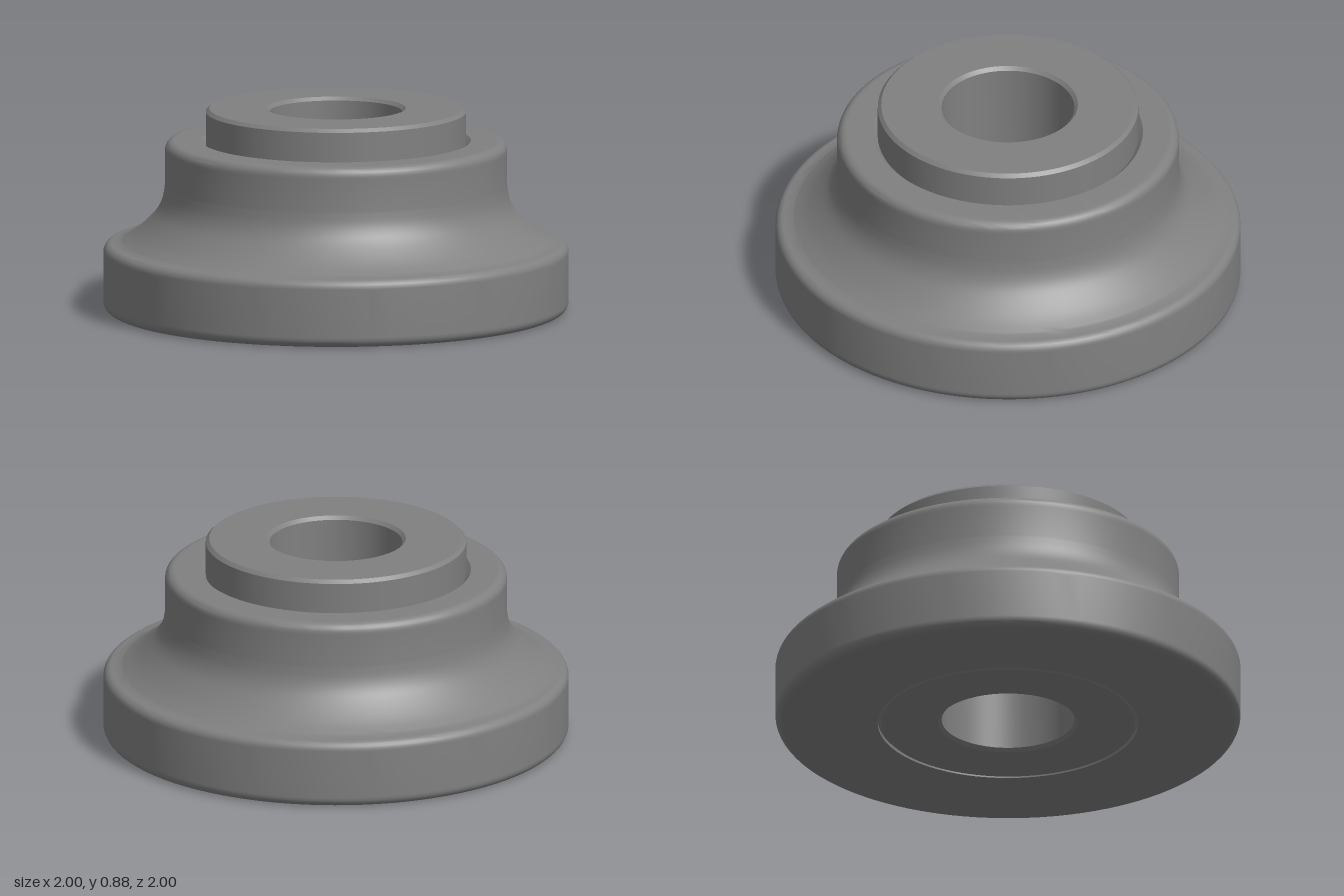
import * as THREE from 'three';
import { toCreasedNormals } from 'three/addons/utils/BufferGeometryUtils.js';

const SEGMENTS = 96;
const v = (r, y) => new THREE.Vector2(r, y);

// Quarter-round corner around (cx, cy), from angle a to angle b in degrees
function fillet(cx, cy, radius, a, b, steps = 6) {
  return Array.from({ length: steps + 1 }, (_, i) => {
    const t = THREE.MathUtils.degToRad(a + ((b - a) * i) / steps);
    return v(cx + radius * Math.cos(t), cy + radius * Math.sin(t));
  });
}

// Revolve a closed, counter-clockwise (radius, height) profile
function ring(name, profile, material) {
  const lathe = new THREE.LatheGeometry([...profile, profile[0].clone()], SEGMENTS);
  const mesh = new THREE.Mesh(toCreasedNormals(lathe, Math.PI / 6), material);
  mesh.name = name;
  return mesh;
}

export function createModel() {
  const steel = new THREE.MeshStandardMaterial({ color: 0x808080 });
  steel.name = 'grey steel';
  const group = new THREE.Group();
  group.name = 'flangedRoller';

  // Flared neck sweeping from the flange up to the hub
  const flare = new THREE.SplineCurve([
    v(0.925, 0.3), v(0.87, 0.335), v(0.815, 0.383), v(0.77, 0.435),
    v(0.745, 0.49), v(0.735, 0.55),
  ]).getPoints(20);

  // Roller body: rounded flange, flare, hub and chamfered bore mouth
  group.add(ring('rollerBody', [
    v(0.56, 0), v(0.955, 0),
    ...fillet(0.96, 0.04, 0.04, -90, 0),
    v(0.999999, 0.045), v(0.999999, 0.25),
    ...fillet(0.96, 0.255, 0.04, 0, 90),
    ...flare,
    v(0.735, 0.69),
    ...fillet(0.695, 0.7, 0.04, 0, 90),
    v(0.69, 0.74), v(0.58, 0.74), v(0.56, 0.72),
  ], steel));

  // Inner sleeve: through bore with chamfers at both ends
  group.add(ring('innerSleeve', [
    v(0.3, 0), v(0.545, 0), v(0.56, 0.015),
    v(0.56, 0.865), v(0.545, 0.88), v(0.3, 0.88),
    v(0.285, 0.865), v(0.285, 0.015),
  ], steel));

  return group;
}
